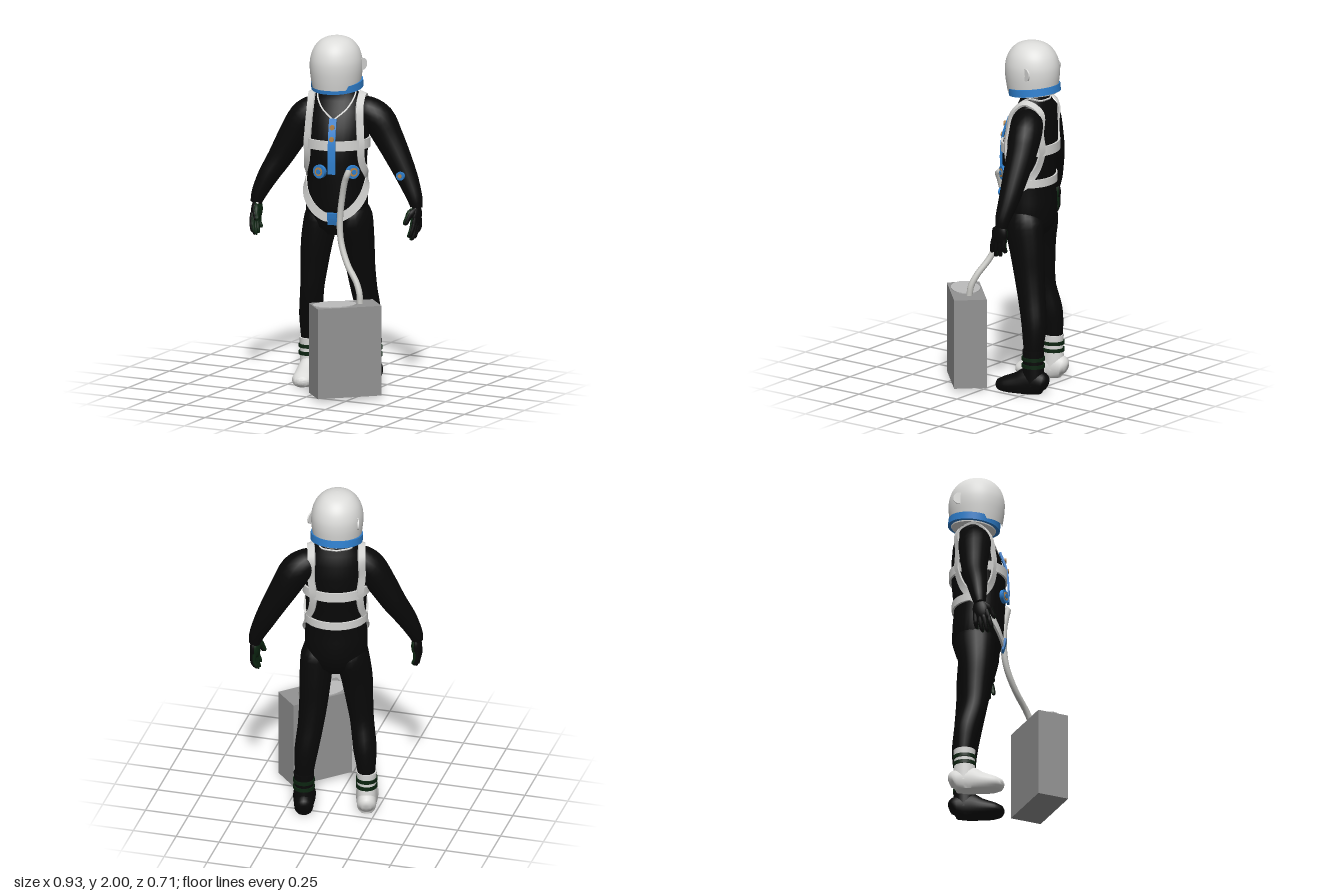
import * as THREE from 'three';
import { toCreasedNormals } from 'three/addons/utils/BufferGeometryUtils.js';

const V = (x, y, z) => new THREE.Vector3(x, y, z);
const mat = (name, color) => {
  const m = new THREE.MeshStandardMaterial({ color });
  m.name = name;
  return m;
};
const YAW = 0.297; // the upper body is turned towards its left

// Skin a list of closed rings (counter-clockwise about the path) and cap the ends
function skin(rings, crease = 1) {
  const n = rings[0].length, last = rings.length - 1, pos = [], idx = [];
  rings.forEach(r => r.forEach(p => pos.push(p.x, p.y, p.z)));
  for (let i = 0; i < last; i++) for (let j = 0; j < n; j++) {
    const k = (j + 1) % n, a = i * n + j, b = i * n + k, c = b + n, d = a + n;
    idx.push(a, b, c, a, c, d);
  }
  [0, last].forEach(i => {
    const c = rings[i].reduce((s, p) => s.add(p), V(0, 0, 0)).divideScalar(n);
    const ci = pos.length / 3;
    pos.push(c.x, c.y, c.z);
    for (let j = 0; j < n; j++) {
      const a = i * n + j, b = i * n + (j + 1) % n;
      if (i) idx.push(ci, a, b); else idx.push(ci, b, a);
    }
  });
  const g = new THREE.BufferGeometry();
  g.setAttribute('position', new THREE.Float32BufferAttribute(pos, 3));
  g.setIndex(idx);
  return toCreasedNormals(g, crease);
}

// Smooth limb through [x, y, z, radiusAcross, radiusDeep]; floor flattens the underside
function limb(pts, steps = 24, sides = 20, floor = -9) {
  const path = new THREE.CatmullRomCurve3(pts.map(p => V(p[0], p[1], p[2])));
  const size = new THREE.CatmullRomCurve3(pts.map(p => V(p[3], p[4] ?? p[3], 0)));
  const rings = [];
  for (let i = 0; i <= steps; i++) {
    const t = i / steps, c = path.getPoint(t), s = size.getPoint(t), T = path.getTangent(t);
    const u = V(1, 0, 0).addScaledVector(T, -T.x).normalize(), v = T.clone().cross(u);
    rings.push(Array.from({ length: sides }, (_, j) => {
      const a = j / sides * Math.PI * 2;
      const p = c.clone().addScaledVector(u, Math.cos(a) * s.x).addScaledVector(v, Math.sin(a) * s.y);
      p.y = Math.max(p.y, floor);
      return p;
    }));
  }
  return skin(rings);
}

// Torso sections: height, half width, half depth, depth offset
const TORSO = [[0.87, 0.08, 0.07, 0], [0.92, 0.145, 0.12, 0], [1.0, 0.175, 0.143, 0], [1.1, 0.176, 0.145, 0.005],
  [1.2, 0.166, 0.143, 0.012], [1.3, 0.17, 0.15, 0.01], [1.4, 0.178, 0.152, 0.005], [1.5, 0.182, 0.14, -0.005],
  [1.58, 0.172, 0.118, -0.02], [1.64, 0.15, 0.095, -0.025], [1.675, 0.12, 0.08, -0.025], [1.7, 0.085, 0.078, -0.02],
  [1.74, 0.08, 0.078, -0.02]];

// Point on the torso: angle in degrees (0 front, 90 left), height, distance off the suit
function onTorso(deg, y, off = 0.004) {
  let i = 0;
  while (i < TORSO.length - 2 && y > TORSO[i + 1][0]) i++;
  const A = TORSO[i], B = TORSO[i + 1], f = (y - A[0]) / (B[0] - A[0]);
  const [w, d, z] = [1, 2, 3].map(k => A[k] + (B[k] - A[k]) * f);
  const a = deg * Math.PI / 180;
  return V((w + off) * Math.sin(a), y, z + (d + off) * Math.cos(a));
}

// Flat webbing along torso points
function strap(points, width, thick = 0.012) {
  const path = new THREE.CatmullRomCurve3(points), rings = [], steps = points.length * 6;
  for (let i = 0; i <= steps; i++) {
    const p = path.getPoint(i / steps), T = path.getTangent(i / steps);
    const v = p.clone().sub(V(p.x * 0.6, Math.min(p.y, 1.52), -0.01));
    v.addScaledVector(T, -v.dot(T)).normalize();
    const u = v.clone().cross(T);
    rings.push([[1, 1], [-1, 1], [-1, -1], [1, -1]].map(([a, b]) =>
      p.clone().addScaledVector(u, a * width / 2).addScaledVector(v, b * thick / 2)));
  }
  return skin(rings, 0.7);
}

export function createModel() {
  const model = new THREE.Group();
  const black = mat('suit black', 0x080808), white = mat('helmet white', 0xdcdcda), web = mat('webbing white', 0xd4d4d2),
    hoseGrey = mat('hose grey', 0xc4c4c0), blue = mat('fitting blue', 0x2f80cf), green = mat('glove green', 0x0b2410),
    orange = mat('dial orange', 0xb8864a), grey = mat('case grey', 0x939393), pale = mat('lid grey', 0xbcbcbc);
  const add = (parent, name, geo, m, x = 0, y = 0, z = 0) => {
    const mesh = new THREE.Mesh(geo, m);
    mesh.name = name;
    mesh.position.set(x, y, z);
    parent.add(mesh);
    return mesh;
  };
  const group = (parent, name, x, y, z, ry = 0) => {
    const g = new THREE.Group();
    g.name = name;
    g.position.set(x, y, z);
    g.rotation.y = ry;
    parent.add(g);
    return g;
  };
  const disc = (r, h) => new THREE.CylinderGeometry(r, r, h, 28).rotateX(Math.PI / 2);

  // Torso
  const body = group(model, 'upperBody', -0.01, 0, -0.14, YAW);
  add(body, 'torso', skin(TORSO.map(s => Array.from({ length: 36 }, (_, j) => onTorso(j * 10, s[0], 0)))), black);

  // Harness
  const arc = (a, b, n, y) => Array.from({ length: n + 1 }, (_, i) => onTorso(a + (b - a) * i / n, y, 0.006));
  add(body, 'chestBand', strap(arc(0, 360, 24, 1.4), 0.055), web);
  add(body, 'backBelt', strap(arc(95, 265, 12, 1.21), 0.045), web);
  for (const s of [-1, 1]) {
    add(body, 'shoulderStrap', strap([onTorso(s * 97, 1.2), onTorso(s * 80, 1.23), onTorso(s * 62, 1.3),
      onTorso(s * 54, 1.4, 0.01), onTorso(s * 50, 1.5, 0.01), V(s * 0.14, 1.61, 0.065), V(s * 0.143, 1.675, -0.015),
      V(s * 0.14, 1.625, -0.105), onTorso(s * 132, 1.5, 0.01), onTorso(s * 136, 1.4, 0.01), onTorso(s * 128, 1.3),
      onTorso(s * 110, 1.22)], 0.042), web);
    add(body, 'hipStrap', strap([onTorso(s * 105, 1.21), onTorso(s * 85, 1.17), onTorso(s * 62, 1.1),
      onTorso(s * 38, 1.03), onTorso(s * 15, 0.99), onTorso(0, 0.985)], 0.05), web);
    add(body, 'neckCord', strap([onTorso(0, 1.54), onTorso(s * 25, 1.6), onTorso(s * 50, 1.66),
      onTorso(s * 90, 1.69), onTorso(s * 135, 1.68), onTorso(s * 180, 1.675)], 0.008, 0.008), web);
  }
  // Front fittings
  add(body, 'frontZip', strap([1.24, 1.33, 1.44, 1.55].map(y => onTorso(0, y, 0.016)), 0.042), blue);
  for (const y of [1.44, 1.505]) add(body, 'zipToggle', disc(0.014, 0.02), orange, 0, y, onTorso(0, y, 0.02).z);
  add(body, 'crotchBuckle', strap([0.945, 0.98, 1.015].map(y => onTorso(0, y, 0.014)), 0.055), blue);
  for (const a of [-24, 40]) {
    const p = onTorso(a, 1.25, 0.006), dial = group(body, 'dial', p.x, p.y, p.z, a * Math.PI / 180);
    add(dial, 'dialRim', disc(0.039, 0.024), blue);
    add(dial, 'dialFace', disc(0.025, 0.03), orange);
    add(dial, 'dialHub', disc(0.014, 0.038), blue);
  }

  // Helmet
  const helmet = group(model, 'helmet', -0.017, 1.73, -0.142);
  const profile = new THREE.SplineCurve([[0.132, -0.02], [0.14, 0.03], [0.146, 0.09], [0.143, 0.145], [0.125, 0.2],
    [0.09, 0.243], [0.045, 0.264], [0.0001, 0.27]].map(p => new THREE.Vector2(...p))).getPoints(28);
  add(helmet, 'dome', new THREE.LatheGeometry(profile, 48), white).scale.z = 1.09;
  for (const s of [-1, 1]) {
    const pivot = add(helmet, 'visorPivot', disc(0.035, 0.008), white, s * 0.136, 0.11, -0.055);
    pivot.rotation.y = s * 1.25;
  }
  const collar = group(model, 'collar', -0.018, 1.725, -0.156);
  collar.rotation.x = 0.13;
  add(collar, 'collarRing', new THREE.CylinderGeometry(0.147, 0.147, 0.042, 48), blue);
  add(collar, 'collarBase', new THREE.CylinderGeometry(0.132, 0.125, 0.05, 48), white, 0, -0.003, 0);

  // Arms, listed from shoulder to wrist
  add(model, 'rightArm', limb([[-0.09, 1.6, -0.115, 0.03], [-0.13, 1.58, -0.112, 0.078], [-0.19, 1.525, -0.095, 0.092],
    [-0.255, 1.42, -0.075, 0.083], [-0.325, 1.29, -0.05, 0.07], [-0.385, 1.18, -0.015, 0.058],
    [-0.428, 1.08, 0.01, 0.043], [-0.44, 1.03, 0.02, 0.032]]), black);
  add(model, 'leftArm', limb([[0.07, 1.6, -0.2, 0.03], [0.115, 1.58, -0.22, 0.078], [0.19, 1.525, -0.25, 0.092],
    [0.25, 1.42, -0.265, 0.083], [0.32, 1.29, -0.27, 0.07], [0.375, 1.18, -0.27, 0.058],
    [0.42, 1.08, -0.262, 0.043], [0.432, 1.03, -0.26, 0.032]]), black);
  add(model, 'sleeveDial', disc(0.025, 0.016), blue, 0.356, 1.218, -0.207);
  add(model, 'sleeveDialFace', disc(0.012, 0.022), orange, 0.356, 1.218, -0.207);

  // Gloved hands: dark backs, green palms
  for (const [s, x, z] of [[-1, -0.437, 0.012], [1, 0.434, -0.264]]) {
    const hand = group(model, s > 0 ? 'leftHand' : 'rightHand', x, 1.055, z);
    hand.rotation.x = -0.17;
    for (const [m, dx, k] of [[black, 0, 1], [green, -s * 0.009, 0.92]]) {
      add(hand, 'palm', new THREE.SphereGeometry(1, 20, 14).scale(0.024, 0.065 * k, 0.046 * k), m, dx, -0.065, 0);
      for (let i = 0; i < 4; i++) {
        const fz = -0.033 + i * 0.022, len = [0.165, 0.195, 0.205, 0.19][i];
        add(hand, 'finger', limb([[s * 0.004, -0.08, fz, 0.013], [s * 0.004, -0.13, fz * 1.2, 0.0125 * k],
          [-s * 0.008, -len + 0.01, fz * 1.3, 0.011 * k], [-s * 0.014, -len, fz * 1.3, 0.004]], 10, 10), m, dx, 0, 0);
      }
      add(hand, 'thumb', limb([[0, -0.03, 0.025, 0.014], [-s * 0.018, -0.07, 0.05, 0.014],
        [-s * 0.032, -0.115, 0.06, 0.011], [-s * 0.035, -0.123, 0.061, 0.003]], 10, 10), m, dx, 0, 0);
    }
    add(hand, 'gloveTab', new THREE.BoxGeometry(0.012, 0.03, 0.008), web, -s * 0.02, -0.035, 0.035);
  }

  // Legs, listed from hip to ankle
  add(model, 'rightLeg', limb([[-0.09, 1.06, -0.13, 0.07], [-0.1, 0.96, -0.125, 0.092, 0.118], [-0.122, 0.82, -0.11, 0.088, 0.1],
    [-0.138, 0.68, -0.11, 0.076, 0.084], [-0.155, 0.54, -0.115, 0.066, 0.074], [-0.178, 0.4, -0.145, 0.066, 0.072],
    [-0.19, 0.28, -0.158, 0.053, 0.058], [-0.192, 0.2, -0.16, 0.045]]), black);
  add(model, 'leftLeg', limb([[0.08, 1.06, -0.16, 0.07], [0.092, 0.96, -0.165, 0.092, 0.118], [0.097, 0.82, -0.19, 0.088, 0.105],
    [0.102, 0.68, -0.21, 0.08, 0.09], [0.112, 0.54, -0.235, 0.072, 0.08], [0.128, 0.4, -0.262, 0.067, 0.073],
    [0.138, 0.28, -0.266, 0.055, 0.06], [0.14, 0.2, -0.266, 0.045]]), black);

  // Boots with twin ankle bands
  for (const [name, m, x, z] of [['rightBoot', white, -0.192, -0.155], ['leftBoot', black, 0.142, -0.267]]) {
    const boot = group(model, name, x, 0.012, z, 0.25);
    add(boot, 'bootShaft', limb([[0, 0.24, 0, 0.058, 0.062], [0, 0.17, 0, 0.054, 0.058], [0, 0.1, 0, 0.055, 0.064],
      [0, 0.04, 0, 0.056, 0.066]], 14, 24), m);
    add(boot, 'bootFoot', limb([[0, 0.04, -0.082, 0.025, 0.025], [0, 0.05, -0.06, 0.052, 0.062], [0, 0.05, 0.02, 0.057, 0.088],
      [0, 0.035, 0.09, 0.063, 0.068], [0, 0.025, 0.17, 0.062, 0.046], [0, 0.02, 0.21, 0.042, 0.03],
      [0, 0.018, 0.222, 0.015, 0.012]], 24, 24, -0.01), m);
    for (const y of [0.152, 0.193]) {
      const band = add(boot, 'ankleBand', new THREE.CylinderGeometry(0.061, 0.061, 0.02, 28), green, 0, y, 0);
      band.scale.z = 1.08;
    }
  }

  // Portable supply case and its hose
  const box = group(model, 'supplyCase', 0.197, 0, 0.158, 0.756);
  add(box, 'caseBody', new THREE.BoxGeometry(0.371, 0.515, 0.184), grey, 0, 0.278, 0);
  add(box, 'caseLid', new THREE.CylinderGeometry(1, 1, 0.006, 48).scale(0.125, 1, 0.082), pale, -0.062, 0.538, 0);
  const hosePath = new THREE.CatmullRomCurve3([V(0.115, 1.25, -0.04), V(0.125, 1.245, -0.008), V(0.108, 1.2, -0.008),
    V(0.088, 1.11, -0.015), V(0.075, 0.98, -0.012), V(0.088, 0.86, 0.002), V(0.145, 0.74, 0.035),
    V(0.22, 0.65, 0.07), V(0.25, 0.59, 0.088), V(0.258, 0.53, 0.095)]);
  add(model, 'hose', new THREE.TubeGeometry(hosePath, 60, 0.018, 14), hoseGrey);
  return model;
}
